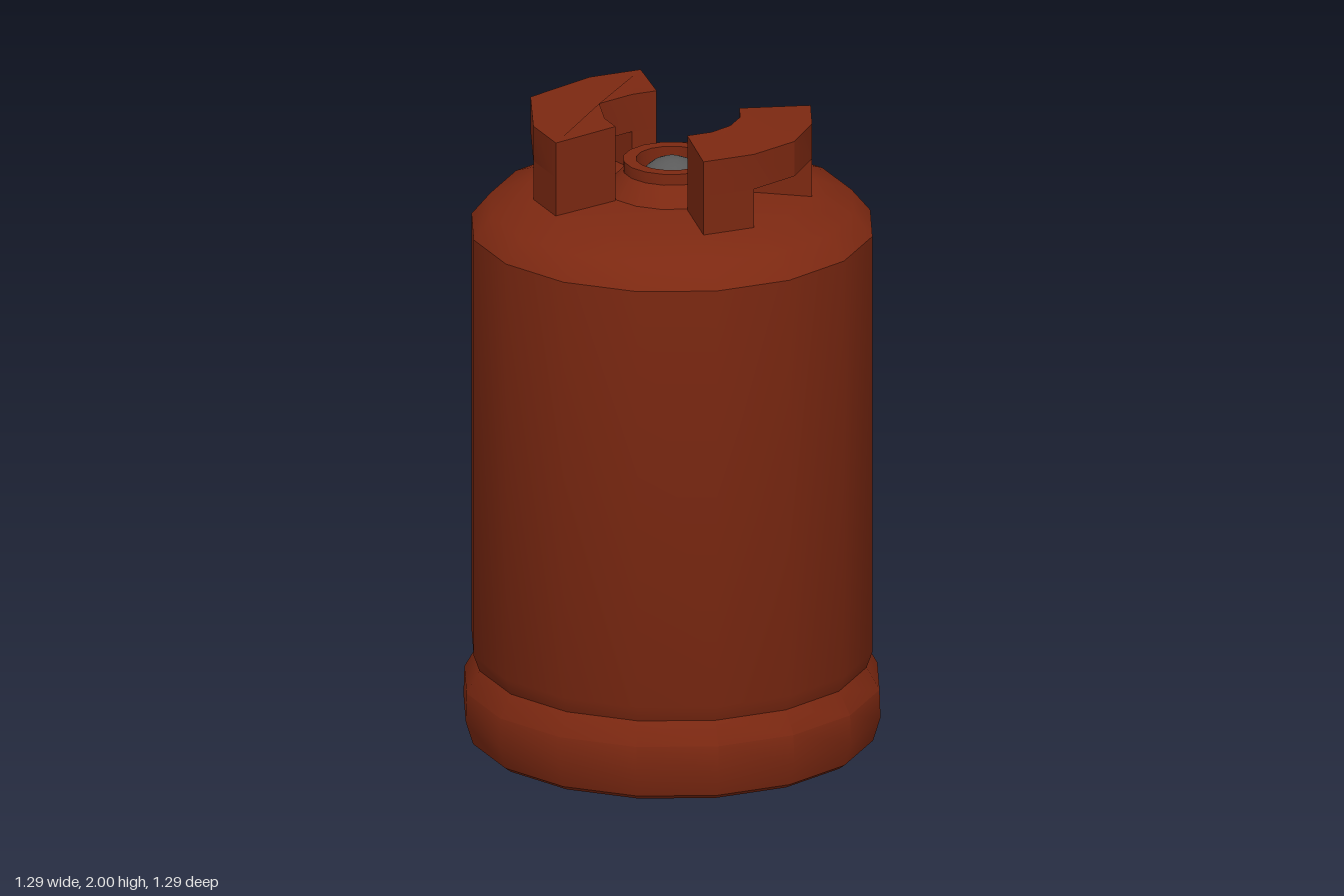
import * as THREE from 'three';
import { toCreasedNormals } from 'three/addons/utils/BufferGeometryUtils.js';

const SIDES = 16;
const CREASE = 0.6;

export function createModel() {
  const group = new THREE.Group();
  const paint = new THREE.MeshStandardMaterial({ color: 0x7c2811 });
  paint.name = 'rust red paint';
  const metal = new THREE.MeshStandardMaterial({ color: 0x5a5a5a });
  metal.name = 'grey metal';

  const add = (name, geometry, material, parent = group) => {
    const mesh = new THREE.Mesh(geometry, material);
    mesh.name = name;
    parent.add(mesh);
    return mesh;
  };
  const lathe = (profile) => toCreasedNormals(
    new THREE.LatheGeometry(profile.map(([r, y]) => new THREE.Vector2(r, y)), SIDES), CREASE);

  // Tank: from the recessed underside, round the hollow foot ring, up to the shoulder
  add('tank', lathe([
    [0, 0.17], [0.4, 0.18], [0.57, 0.22], [0.59, 0.1], [0.585, 0.01],
    [0.60, 0], [0.62, 0.015], [0.643, 0.09], [0.64, 0.18], [0.60, 0.25],
    [0.618, 0.30], [0.618, 1.64], [0.56, 1.71], [0.43, 1.757], [0, 1.765],
  ]), paint);

  // Valve neck: cone, short collar and the socket inside it
  add('neck', lathe([
    [0.21, 1.755], [0.15, 1.82], [0.15, 1.855], [0.11, 1.855], [0.11, 1.76],
  ]), paint);
  const valve = add('valve', new THREE.SphereGeometry(0.11, SIDES, 6, 0, Math.PI * 2, 0, Math.PI / 2), metal);
  valve.position.y = 1.75;

  // Prism over a ring sector; stations are [degrees, outer radius, inner radius]
  const sector = (stations, side, y0, y1) => {
    const at = (deg, r) => {
      const a = THREE.MathUtils.degToRad(deg);
      return new THREE.Vector2(side * Math.cos(a) * r, -Math.sin(a) * r);
    };
    const outline = [
      ...stations.map(([d, outer]) => at(d, outer)),
      ...stations.map(([d, , inner]) => at(d, inner)).reverse(),
    ];
    const geometry = new THREE.ExtrudeGeometry(new THREE.Shape(outline), { depth: y1 - y0, bevelEnabled: false });
    geometry.rotateX(-Math.PI / 2).translate(0, y0, 0);
    // The grip top falls away slightly toward its outer edge
    const p = geometry.attributes.position;
    for (let i = 0; i < p.count; i++) {
      if (p.getY(i) > 1.99 && Math.hypot(p.getX(i), p.getZ(i)) > 0.3) p.setY(i, 1.992);
    }
    return toCreasedNormals(geometry, 0.45);
  };

  // Each handle is a curved grip on a leg at either end
  const handle = (name, side, stations) => {
    const part = new THREE.Group();
    part.name = name;
    group.add(part);
    add('grip', sector(stations, side, 1.88, 2), paint, part);
    add('backLeg', sector(stations.slice(0, 2), side, 1.75, 1.88), paint, part);
    add('frontLeg', sector(stations.slice(-2), side, 1.75, 1.88), paint, part);
  };
  handle('leftHandle', 1, [-45, -22.5, 0, 22.5, 45].map((d) => [d, d === 0 ? 0.44 : 0.432, 0.21]));
  handle('rightHandle', -1, [
    [-45, 0.432, 0.21], [-22.5, 0.432, 0.21], [10.5, 0.463, 0.238], [45, 0.432, 0.21], [67.5, 0.432, 0.21],
  ]);

  return group;
}
